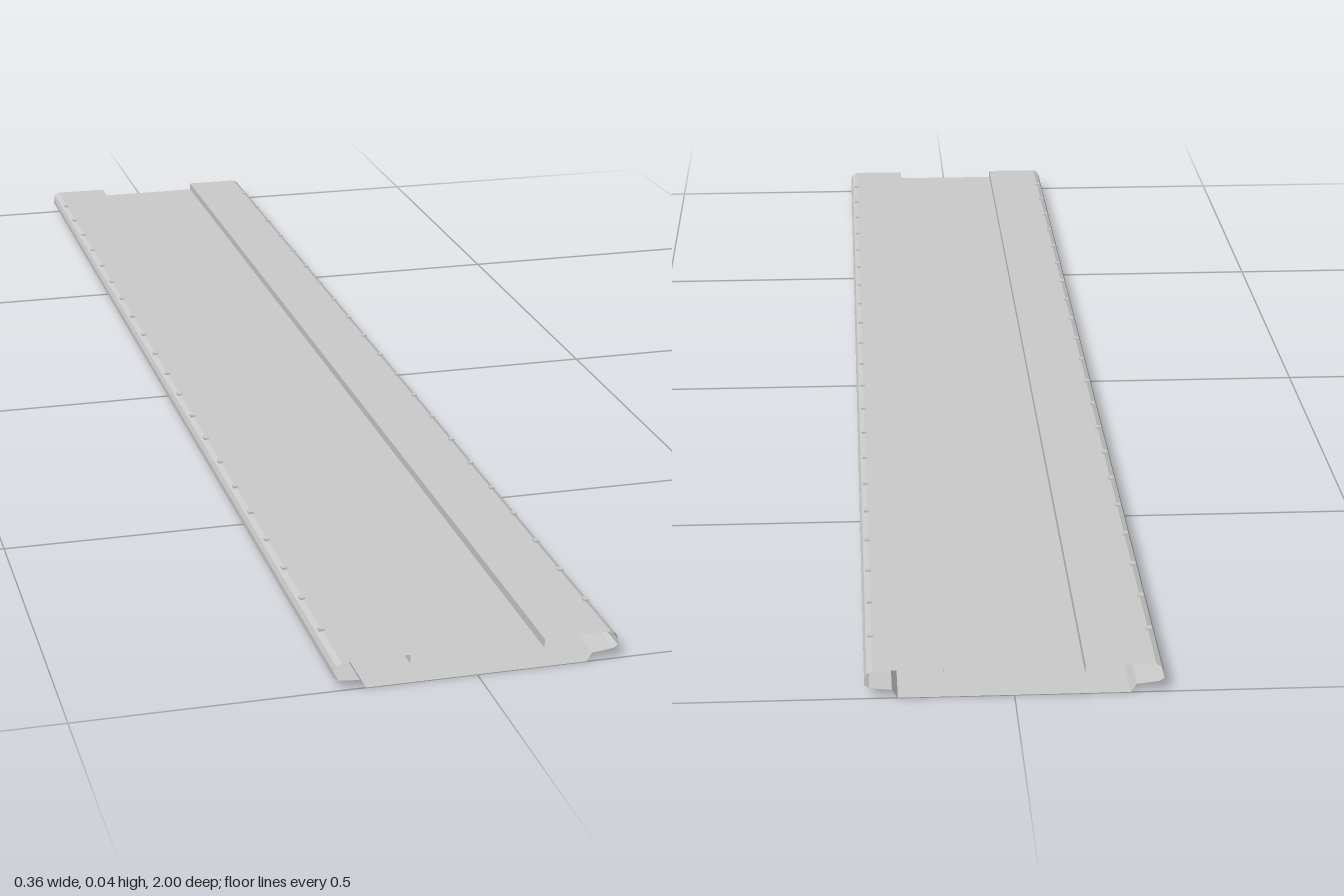
import * as THREE from 'three';

const material = new THREE.MeshStandardMaterial({ color: 0xcccccc, side: THREE.DoubleSide, flatShading: true });
const LENGTH = 2;

// Open-ended folded sheet: a strip of flat faces following an x/y profile along z
function foldedSheet(name, profile) {
  const positions = [];
  const h = LENGTH / 2;
  for (let i = 0; i < profile.length - 1; i++) {
    const [ax, ay] = profile[i];
    const [bx, by] = profile[i + 1];
    positions.push(ax, ay, h, bx, by, h, bx, by, -h);
    positions.push(ax, ay, h, bx, by, -h, ax, ay, -h);
  }
  const geometry = new THREE.BufferGeometry();
  geometry.setAttribute('position', new THREE.Float32BufferAttribute(positions, 3));
  // Winding follows the profile counter-clockwise, so reverse to face outward
  const index = [];
  for (let i = 0; i < positions.length / 3; i += 3) index.push(i, i + 2, i + 1);
  geometry.setIndex(index);
  const flat = geometry.toNonIndexed();
  flat.computeVertexNormals();
  const mesh = new THREE.Mesh(flat, material);
  mesh.name = name;
  return mesh;
}

export function createModel() {
  const group = new THREE.Group();
  group.name = 'slat';

  // Bottom panel, and the recessed deck between the raised side rails
  group.add(foldedSheet('bottomPanel', [[0.14, 0], [-0.14, 0]]));
  group.add(foldedSheet('recessedDeck', [[-0.085, 0.025], [0.085, 0.025]]));

  // Side rails: steep foot, ledge, rounded outer edge, raised top and step down to the deck
  const rail = [
    [0.14, 0], [0.147, 0.011], [0.174, 0.014], [0.18, 0.018], [0.18, 0.026],
    [0.177, 0.033], [0.17, 0.037], [0.085, 0.037], [0.085, 0.025],
  ];
  group.add(foldedSheet('leftRail', rail));
  group.add(foldedSheet('rightRail', rail.map(([x, y]) => [-x, y]).reverse()));

  // Row of small raised nibs along each outer top edge
  const nib = new THREE.BoxGeometry(0.007, 0.003, 0.008);
  for (const side of [1, -1]) {
    const row = new THREE.Group();
    row.name = side > 0 ? 'leftNibs' : 'rightNibs';
    for (let i = -10; i <= 10; i++) {
      const mesh = new THREE.Mesh(nib, material);
      mesh.name = 'nib';
      mesh.position.set(side * 0.171, 0.0378, i / 11);
      row.add(mesh);
    }
    group.add(row);
  }
  return group;
}
